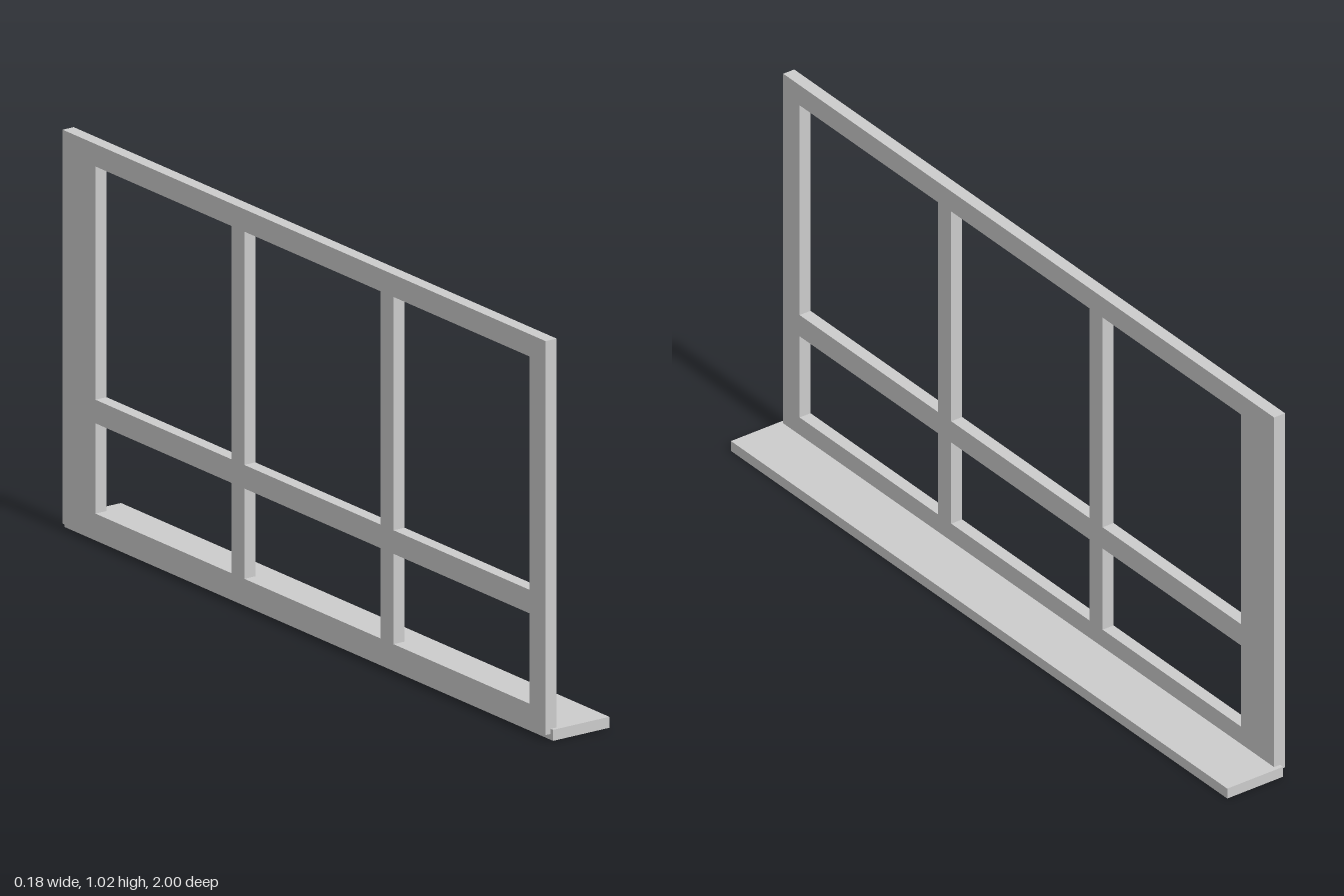
import * as THREE from 'three';

const material = new THREE.MeshStandardMaterial({ color: 0xcccccc, flatShading: true });

// Closed rectangle for outlines and holes
function rect(PathType, u0, u1, v0, v1) {
  const p = new PathType();
  p.moveTo(u0, v0);
  p.lineTo(u1, v0);
  p.lineTo(u1, v1);
  p.lineTo(u0, v1);
  p.closePath();
  return p;
}

export function createModel() {
  const group = new THREE.Group();
  group.name = 'window';

  // Frame drawn in the side plane (u = -z, v = y), with a 3 x 2 grid of openings
  const outline = rect(THREE.Shape, -0.99, 0.988, 0.015, 1.018);
  const columns = [[-0.924, -0.367], [-0.313, 0.244], [0.297, 0.854]];
  const rows = [[0.077, 0.307], [0.367, 0.961]];
  for (const [u0, u1] of columns) {
    for (const [v0, v1] of rows) {
      outline.holes.push(rect(THREE.Path, u0, u1, v0, v1));
    }
  }
  const frameGeometry = new THREE.ExtrudeGeometry(outline, { depth: 0.033, bevelEnabled: false });
  frameGeometry.rotateY(Math.PI / 2);
  const frame = new THREE.Mesh(frameGeometry, material);
  frame.name = 'windowFrame';
  frame.position.x = -0.092;
  group.add(frame);

  // Sill board along the foot of the frame
  const sill = new THREE.Mesh(new THREE.BoxGeometry(0.168, 0.028, 2), material);
  sill.name = 'windowSill';
  sill.position.set(0.007, 0.014, 0);
  group.add(sill);

  return group;
}
